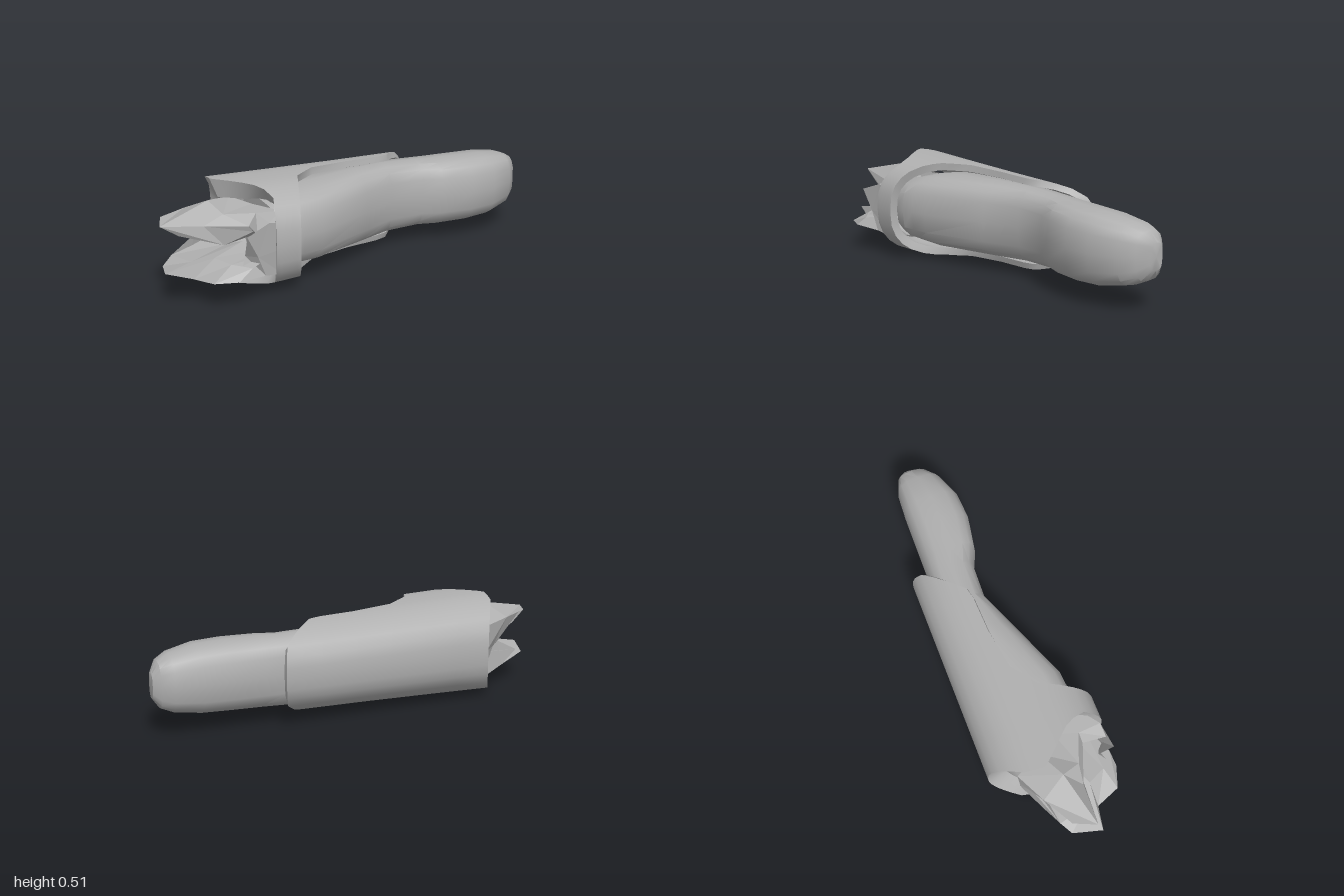
import * as THREE from 'three';
import { toCreasedNormals } from 'three/addons/utils/BufferGeometryUtils.js';

const grey = new THREE.MeshStandardMaterial({ color: 0xb0b0b0, side: THREE.DoubleSide });
grey.name = 'grey';

// Point from s (along the slanted axis), y (height) and t (across the axis)
const at = (s, y, t) => [(0.43 * s + 0.9 * t) / 0.995, y, (-0.9 * s + 0.43 * t) / 0.995];

// Skin a list of equally long rows of points; each row is an open or closed line
function loft(name, rows, closed, crease) {
  const n = rows[0].length, index = [];
  for (let i = 0; i < rows.length - 1; i++) {
    for (let j = 0; j < (closed ? n : n - 1); j++) {
      const k = (j + 1) % n;
      const a = i * n + j, b = i * n + k, c = (i + 1) * n + k, d = (i + 1) * n + j;
      index.push(a, d, c, a, c, b);
    }
  }
  const g = new THREE.BufferGeometry();
  g.setAttribute('position', new THREE.Float32BufferAttribute(rows.flat(2), 3));
  g.setIndex(index);
  const mesh = new THREE.Mesh(toCreasedNormals(g, crease), grey);
  mesh.name = name;
  return mesh;
}

// Rounded-box (superellipse) coordinate
const pow = (v, p) => Math.sign(v) * Math.abs(v) ** (2 / p);

// Piecewise linear lookup in [x, y] pairs
function lookup(pairs, x) {
  for (let i = 1; i < pairs.length; i++) {
    const [x0, y0] = pairs[i - 1], [x1, y1] = pairs[i];
    if (x <= x1) return y0 + (y1 - y0) * Math.max(0, (x - x0) / (x1 - x0));
  }
  return pairs[pairs.length - 1][1];
}

// Inner body: s, left t, right t, bottom, top
function createBody() {
  const sections = [
    [-0.5, -0.12, 0.27, 0.1, 0.4], [-0.42, -0.16, 0.285, 0.08, 0.42],
    [-0.36, -0.17, 0.268, 0.072, 0.432], [-0.26, -0.172, 0.26, 0.07, 0.437],
    [0.06, -0.175, 0.13, 0.068, 0.437], [0.245, -0.175, 0.055, 0.07, 0.43],
    [0.43, -0.172, 0.063, 0.076, 0.422], [0.525, -0.17, 0.105, 0.077, 0.421],
    [0.69, -0.168, 0.135, 0.08, 0.418], [0.83, -0.166, 0.128, 0.087, 0.412],
    [0.965, -0.158, 0.078, 0.112, 0.39], [1.025, -0.137, 0.025, 0.14, 0.365],
    [1.058, -0.105, -0.035, 0.19, 0.315],
  ];
  const sides = 16;
  const rows = sections.map(([s, l, r, b, t]) => Array.from({ length: sides }, (_, j) => {
    const a = (j / sides) * Math.PI * 2;
    return at(s, (b + t) / 2 + (t - b) / 2 * pow(Math.sin(a), 3), (l + r) / 2 + (r - l) / 2 * pow(Math.cos(a), 3));
  }));
  // Flat ends
  const cap = ([s, l, r, b, t]) => Array(sides).fill(at(s, (b + t) / 2, (l + r) / 2));
  rows.unshift(cap(sections[0]));
  rows.push(cap(sections[sections.length - 1]));
  return loft('innerBody', rows, true, 0.6);
}

// Thick outer sleeve: strips run front to back, then return along the inner wall
function createSleeve() {
  const p = 2.6, mid = 0.05, half = 0.305, columns = 6;
  // Edge position s for each t across the sleeve
  const frontEdge = [[-0.255, -0.607], [-0.11, -0.694], [-0.01, -0.71], [0.15, -0.56], [0.24, -0.51], [0.355, -0.55]];
  const backEdge = [
    [-0.255, 0.464], [-0.21, 0.442], [-0.035, 0.262], [-0.022, 0.2], [-0.016, 0.02],
    [0.014, -0.19], [0.106, -0.314], [0.26, -0.384], [0.355, -0.425],
  ];
  const heights = [[-0.7, 0.255], [-0.4, 0.244], [0, 0.231], [0.464, 0.22]];
  const walls = [[-0.6, 0.09], [-0.43, 0.04], [0, 0.03]];
  const ts = [-0.255, -0.252, -0.24, -0.21, -0.16, -0.11, -0.06, -0.035, -0.022, -0.016, 0.014,
    0.06, 0.106, 0.15, 0.2, 0.26, 0.3, 0.33, 0.349, 0.355];
  const strip = (t, sign) => {
    const tau = (t - mid) / half;
    const rise = sign * Math.max(0, 1 - Math.abs(tau) ** p) ** (1 / p);
    const front = lookup(frontEdge, t), back = lookup(backEdge, t);
    const wall = (inner) => Array.from({ length: columns + 1 }, (_, i) => {
      const s = front + (back - front) * i / columns;
      const inset = inner ? lookup(walls, s) : 0;
      // The inner front edge is set back to form a sloping lip
      const setBack = inner && i === 0 ? 0.03 : 0;
      return at(s + setBack, 0.253 + (lookup(heights, s) - inset) * rise, mid + (half - inset) * tau);
    });
    return [...wall(false), ...wall(true).reverse()];
  };
  // Over the top from one side to the other, back underneath
  const rows = [...ts.map((t) => strip(t, 1)), ...ts.slice(0, -1).reverse().map((t) => strip(t, -1))];
  return loft('outerSleeve', rows, true, 0.6);
}

// Torn shards at the front, each a folded faceted sheet
function createShards() {
  const upper = [
    [[-0.41, 0.36, 0.55], [-0.27, 0.41, 0.56], [-0.15, 0.39, 0.54], [0.02, 0.39, 0.54], [0.07, 0.36, 0.6]],
    [[-0.41, 0.37, 0.72], [-0.27, 0.43, 0.71], [-0.17, 0.385, 0.72], [-0.06, 0.385, 0.62], [0.05, 0.37, 0.66]],
    [[-0.4, 0.375, 0.89], [-0.32, 0.37, 0.98], [-0.22, 0.34, 0.8], [-0.07, 0.33, 0.66], [0.03, 0.33, 0.72]],
    [[-0.39, 0.32, 0.8], [-0.28, 0.31, 0.9], [-0.16, 0.24, 0.73], [-0.06, 0.3, 0.64], [0.03, 0.29, 0.68]],
    [[-0.39, 0.28, 0.6], [-0.28, 0.3, 0.58], [-0.16, 0.27, 0.56], [-0.06, 0.28, 0.55], [0.03, 0.26, 0.58]],
  ];
  const lower = [
    [[-0.38, 0.07, 0.55], [-0.28, 0.05, 0.56], [-0.18, 0.04, 0.56], [-0.06, 0.06, 0.56], [0.06, 0.1, 0.58]],
    [[-0.39, 0.11, 0.72], [-0.3, 0.1, 0.75], [-0.18, 0.105, 0.72], [-0.06, 0.115, 0.7], [0.04, 0.12, 0.68]],
    [[-0.39, 0.14, 0.9], [-0.28, 0.16, 1.0], [-0.2, 0.12, 0.9], [-0.07, 0.13, 0.91], [0.01, 0.13, 0.83]],
    [[-0.4, 0.17, 0.83], [-0.25, 0.18, 0.86], [-0.16, 0.2, 0.8], [-0.06, 0.19, 0.8], [0.03, 0.18, 0.76]],
    [[-0.38, 0.2, 0.62], [-0.25, 0.19, 0.6], [-0.16, 0.22, 0.6], [-0.05, 0.2, 0.58], [0.03, 0.2, 0.58]],
  ];
  const leftWall = [
    [[0.06, 0.1, 0.58], [0.07, 0.23, 0.58], [0.07, 0.36, 0.6]],
    [[0.04, 0.12, 0.68], [0.03, 0.22, 0.72], [0.05, 0.37, 0.66]],
    [[0.01, 0.13, 0.83], [-0.03, 0.22, 0.74], [0.02, 0.33, 0.78]],
  ];
  const rightWall = [
    [[-0.38, 0.07, 0.55], [-0.4, 0.22, 0.56], [-0.41, 0.36, 0.55]],
    [[-0.39, 0.11, 0.72], [-0.37, 0.22, 0.66], [-0.41, 0.37, 0.72]],
    [[-0.4, 0.17, 0.83], [-0.37, 0.24, 0.7], [-0.4, 0.375, 0.85]],
  ];
  const group = new THREE.Group();
  group.name = 'tornEnd';
  const sheets = { upperShards: upper, lowerShards: lower, leftTornWall: leftWall, rightTornWall: rightWall };
  for (const [name, rows] of Object.entries(sheets)) group.add(loft(name, rows, false, 0.01));
  return group;
}

export function createModel() {
  const model = new THREE.Group();
  model.name = 'brokenSleevedLimb';
  model.add(createBody(), createSleeve(), createShards());
  return model;
}
